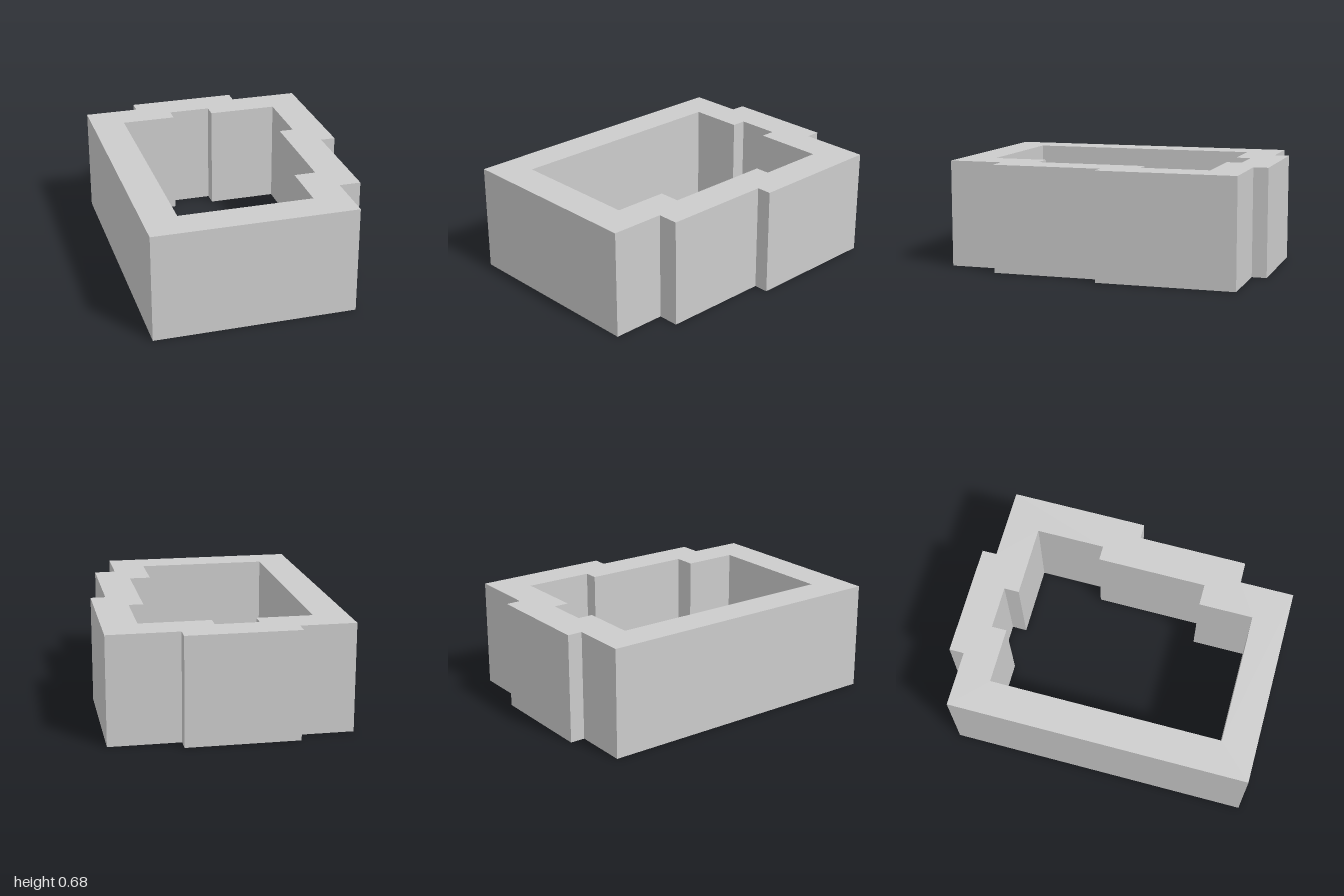
import * as THREE from 'three';

const HEIGHT = 0.68;

// Plan corners as [x, z]
const outer = [
  [-0.747, -0.907], [-0.4, -0.907], [-0.4, -1], [0.302, -1], [0.302, -0.907], [0.747, -0.907],
  [0.747, -0.04], [0.653, -0.04], [0.653, 0.655], [0.518, 0.655], [0.518, 1], [-0.747, 1],
];
const inner = [
  [-0.533, -0.693], [-0.185, -0.693], [-0.185, -0.788], [0.085, -0.788], [0.085, -0.693], [0.53, -0.693],
  [0.53, -0.258], [0.438, -0.258], [0.438, 0.438], [0.302, 0.438], [0.302, 0.783], [-0.533, 0.783],
];

const toPoints = (corners) => corners.map(([x, z]) => new THREE.Vector2(x, z));

export function createModel() {
  const model = new THREE.Group();
  model.name = 'walledEnclosure';

  // Stepped wall ring, open at top and bottom
  const plan = new THREE.Shape(toPoints(outer));
  plan.holes.push(new THREE.Path(toPoints(inner)));
  const geometry = new THREE.ExtrudeGeometry(plan, { depth: HEIGHT, bevelEnabled: false });
  geometry.rotateX(Math.PI / 2); // plan y becomes z, depth runs downward
  geometry.translate(0, HEIGHT, 0);

  const walls = new THREE.Mesh(geometry, new THREE.MeshStandardMaterial({ color: 0xcccccc, flatShading: true }));
  walls.name = 'walls';
  model.add(walls);
  return model;
}
